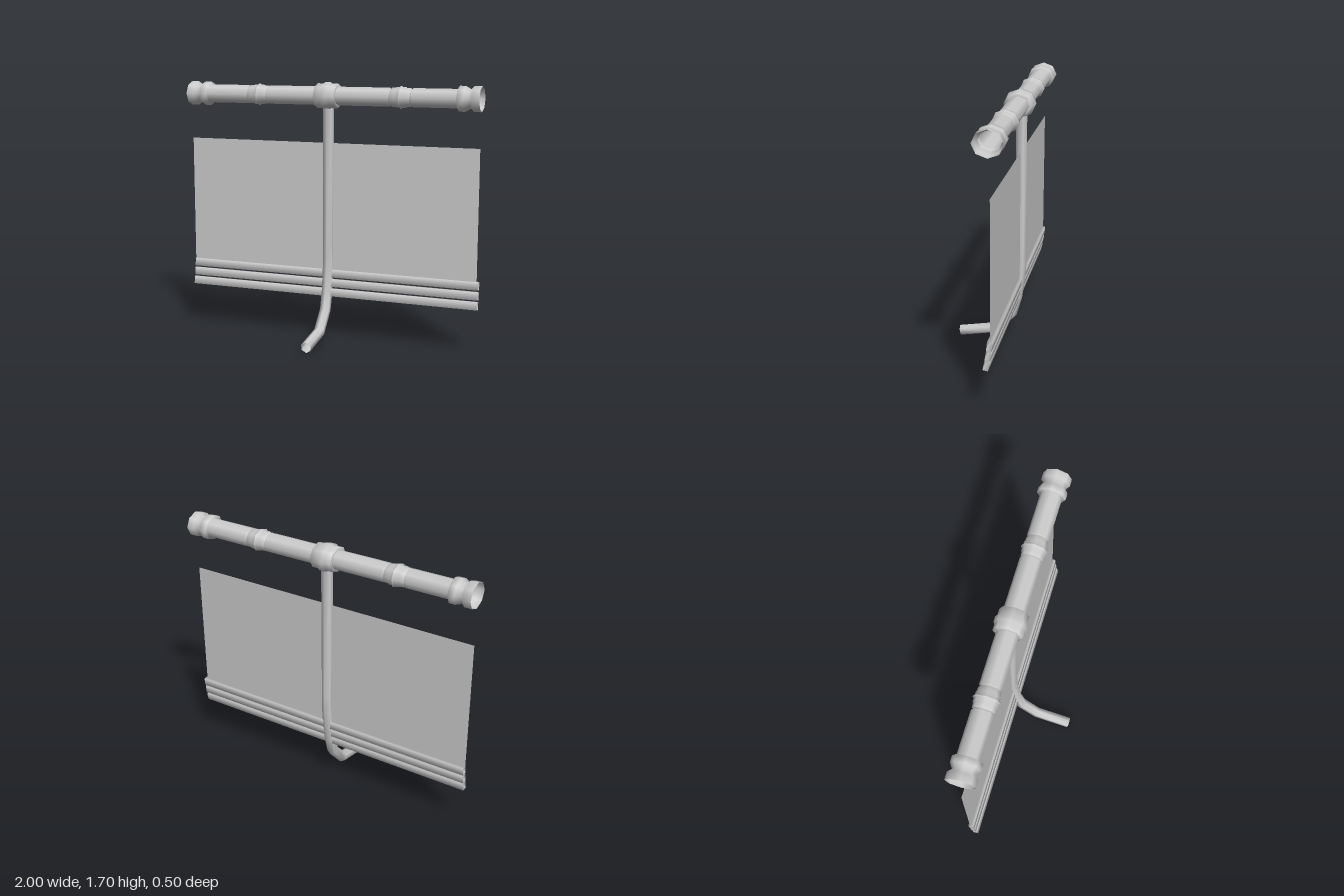
import * as THREE from 'three';

const material = new THREE.MeshStandardMaterial({ color: 0xcccccc, side: THREE.DoubleSide });

function add(group, name, geometry, x = 0, y = 0, z = 0) {
  const mesh = new THREE.Mesh(geometry, material);
  mesh.name = name;
  mesh.position.set(x, y, z);
  group.add(mesh);
  return mesh;
}

// Eight-sided open shell along x, slightly flattened; profile is [x, radius]
function pipeShell(profile) {
  const points = profile.map(([x, r]) => new THREE.Vector2(r, x));
  return new THREE.LatheGeometry(points, 8).rotateZ(-Math.PI / 2).scale(1, 0.88, 1);
}

// Open tube swept along a [z, y] path with mitred bends
function sweptPost(path, radius, sides) {
  const pts = path.map(([z, y]) => new THREE.Vector2(z, y));
  const dir = (i) => pts[i + 1].clone().sub(pts[i]).normalize();
  const positions = [];
  const indices = [];
  pts.forEach((p, i) => {
    const a = dir(Math.max(i - 1, 0));
    const b = dir(Math.min(i, pts.length - 2));
    const t = a.clone().add(b).normalize();
    const stretch = 1 / t.dot(a);
    for (let s = 0; s < sides; s++) {
      const angle = (s / sides) * Math.PI * 2;
      const side = Math.cos(angle) * radius * stretch;
      positions.push(Math.sin(angle) * radius, p.y + t.x * side, p.x - t.y * side);
      if (i < pts.length - 1) {
        const n = (s + 1) % sides;
        const k = i * sides;
        indices.push(k + s, k + sides + s, k + n, k + n, k + sides + s, k + sides + n);
      }
    }
  });
  const geometry = new THREE.BufferGeometry();
  geometry.setAttribute('position', new THREE.Float32BufferAttribute(positions, 3));
  geometry.setIndex(indices);
  geometry.computeVertexNormals();
  return geometry;
}

export function createModel() {
  const group = new THREE.Group();
  const pipeY = 1.61;
  const pipeZ = -0.148;

  // Hollow crossbar: flanged end, grooved clamp, centre; mirrored along x
  const half = [
    [0.992, 0.09], [0.944, 0.09], [0.922, 0.068], [0.89, 0.09], [0.85, 0.09], [0.85, 0.068],
    [0.563, 0.068], [0.563, 0.057], [0.55, 0.057], [0.55, 0.068], [0.52, 0.068], [0.52, 0.073],
    [0.493, 0.073], [0.49, 0.081], [0.48, 0.081], [0.477, 0.073], [0.453, 0.073], [0.453, 0.068],
    [0.425, 0.068], [0.425, 0.057], [0.412, 0.057], [0.412, 0.068],
  ];
  const profile = [-1, 1].flatMap((s) => {
    const side = half.map(([x, r]) => [s * x - (x < 0.6 ? 0.007 : 0), r]);
    return s < 0 ? side : side.reverse();
  });
  add(group, 'crossbar', pipeShell(profile), 0, pipeY, pipeZ);

  // Collar joining crossbar and post
  const collar = [
    [-0.07, 0.068], [-0.07, 0.09], [-0.03, 0.09], [-0.018, 0.1],
    [0.018, 0.1], [0.03, 0.09], [0.07, 0.09], [0.07, 0.068],
  ];
  add(group, 'collar', pipeShell(collar), -0.013, pipeY, pipeZ);

  // Bent six-sided post
  const path = [
    [-0.158, 1.55], [-0.163, 0.65], [-0.162, 0.54], [-0.152, 0.43],
    [-0.137, 0.32], [-0.104, 0.2], [0.007, 0.079], [0.243, 0.038],
  ];
  add(group, 'post', sweptPost(path, 0.036, 6), -0.013);

  // Thin back panel
  const panel = new THREE.PlaneGeometry(1.985, 0.845);
  add(group, 'backPanel', panel, -0.0075, 0.8825, -0.16);

  // Three hollow seat slats following the bend of the post
  [[0.438, -0.158, 0.1], [0.375, -0.15, 0.14], [0.313, -0.139, 0.18]].forEach(([y, z, tilt]) => {
    const slat = new THREE.CylinderGeometry(Math.SQRT1_2, Math.SQRT1_2, 1.995, 4, 1, true)
      .rotateY(Math.PI / 4)
      .rotateZ(Math.PI / 2)
      .scale(1, 0.052, 0.032);
    add(group, 'seatSlat', slat, 0.002, y, z).rotation.x = -tilt;
  });

  return group;
}
